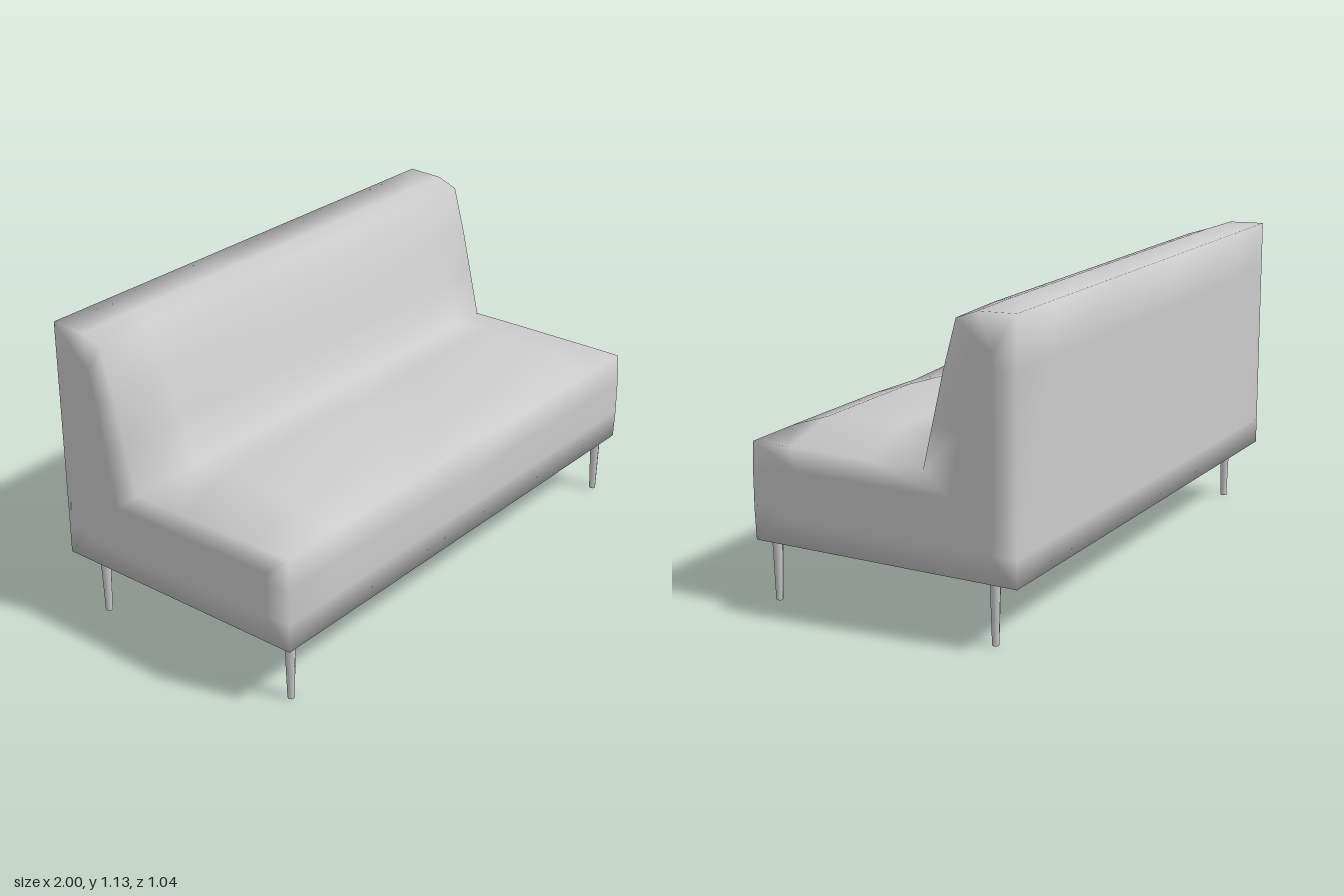
import * as THREE from 'three';

// Profile points, front bottom round to rear bottom:
// [z, y] along the middle, [z, y] at the ends, [z, y] of the inset loop on the end panels
const PROFILE = [
  [[0.515, 0.23], [0.515, 0.23], [0.42, 0.33]],
  [[0.52, 0.34], [0.52, 0.34], [0.42, 0.37]],
  [[0.52, 0.47], [0.52, 0.47], [0.42, 0.45]],
  [[0.515, 0.587], [0.515, 0.585], [0.42, 0.5]],
  [[0.36, 0.64], [0.36, 0.585], [0.33, 0.5]],
  [[0.05, 0.648], [0.05, 0.583], [0.03, 0.5]],
  [[-0.11, 0.627], [-0.17, 0.58], [-0.27, 0.5]],
  [[-0.165, 0.79], [-0.21, 0.75], [-0.31, 0.72]],
  [[-0.24, 0.97], [-0.25, 0.92], [-0.34, 0.88]],
  [[-0.305, 1.11], [-0.3, 1.1], [-0.37, 1.0]],
  [[-0.38, 1.134], [-0.38, 1.13], [-0.4, 1.02]],
  [[-0.52, 1.135], [-0.52, 1.135], [-0.43, 1.0]],
  [[-0.52, 0.95], [-0.52, 0.95], [-0.43, 0.94]],
  [[-0.52, 0.33], [-0.52, 0.33], [-0.43, 0.36]],
  [[-0.52, 0.23], [-0.52, 0.23], [-0.42, 0.33]],
];
const STATIONS = [-1, -0.77, -0.25, 0, 0.25, 0.77, 1];

function upholsteryGeometry() {
  const n = PROFILE.length, pos = [], index = [];
  const ring = (x, which) => PROFILE.forEach((p, i) => {
    let [z, y] = p[which];
    // Shallow dip in the middle of the seat
    if (x === 0 && i === 3) z -= 0.02;
    if (x === 0 && i >= 4 && i <= 5) y -= 0.02;
    pos.push(x, y, z);
  });
  const bridge = (r, s) => {
    for (let i = 0; i < n; i++) {
      const j = (i + 1) % n;
      const a = r * n + i, b = s * n + i, c = s * n + j, d = r * n + j;
      index.push(a, b, c, a, c, d);
    }
  };
  // Inset loop, all the stations, inset loop
  ring(-1, 2);
  STATIONS.forEach((x) => ring(x, Math.abs(x) === 1 ? 1 : 0));
  ring(1, 2);
  const last = STATIONS.length + 1;
  for (let r = 0; r < last; r++) bridge(r, r + 1);

  // Close both end panels
  const outline = PROFILE.map((p) => new THREE.Vector2(...p[2]));
  for (const [a, b, c] of THREE.ShapeUtils.triangulateShape(outline, [])) {
    index.push(a, b, c, last * n + a, last * n + c, last * n + b);
  }
  const g = new THREE.BufferGeometry();
  g.setAttribute('position', new THREE.Float32BufferAttribute(pos, 3));
  g.setIndex(index);
  g.computeVertexNormals();
  return g;
}

export function createModel() {
  const model = new THREE.Group();
  model.name = 'sofa';
  const material = new THREE.MeshStandardMaterial({ color: 0xcccccc });
  const add = (name, geometry, x, y, z, parent = model) => {
    const mesh = new THREE.Mesh(geometry, material);
    mesh.name = name;
    mesh.position.set(x, y, z);
    parent.add(mesh);
    return mesh;
  };

  add('upholstery', upholsteryGeometry(), 0, 0, 0);

  // Flat underside panel
  add('underside', new THREE.BoxGeometry(1.95, 0.008, 0.99), 0, 0.229, 0);

  // Tapered legs with small mounting plates
  const shaft = new THREE.CylinderGeometry(0.019, 0.0125, 0.22, 8);
  const plate = new THREE.CylinderGeometry(0.023, 0.022, 0.01, 8);
  for (const x of [-0.943, 0.943]) {
    for (const z of [0.468, -0.407]) {
      const leg = new THREE.Group();
      leg.name = (z > 0 ? 'front' : 'back') + (x > 0 ? 'Left' : 'Right') + 'Leg';
      leg.position.set(x, 0, z);
      add('legShaft', shaft, 0, 0.11, 0, leg);
      add('legPlate', plate, 0, 0.222, 0, leg);
      model.add(leg);
    }
  }
  return model;
}
